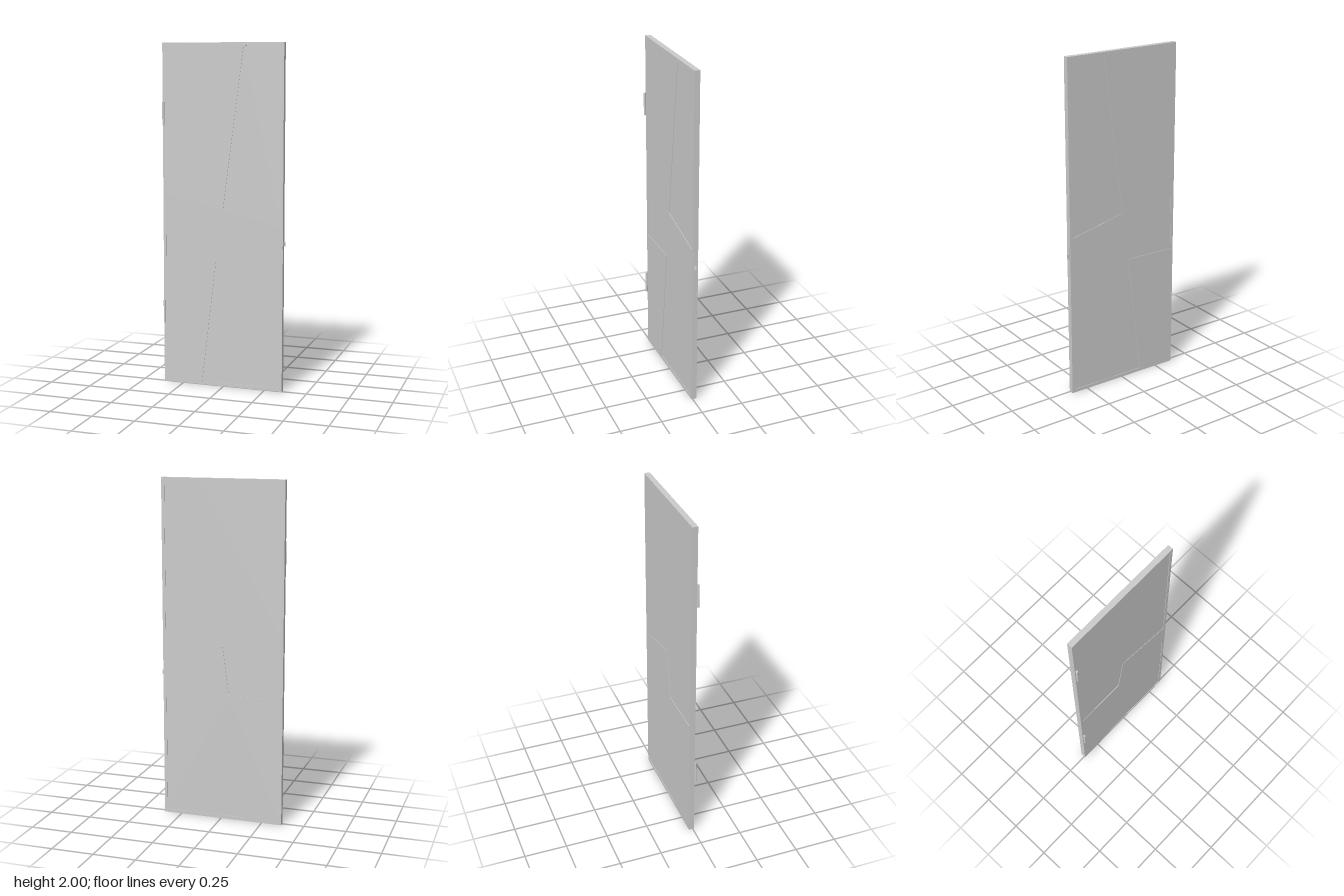
import * as THREE from 'three';

const BACK = -0.025, FRONT = 0.007, INSET = 0.003;

export function createModel() {
  const door = new THREE.Group();
  door.name = 'door';
  const grey = new THREE.MeshStandardMaterial({ color: 0xcccccc });

  const add = (name, geometry, x = 0, y = 0, z = 0) => {
    const mesh = new THREE.Mesh(geometry, grey);
    mesh.name = name;
    mesh.position.set(x, y, z);
    door.add(mesh);
    return mesh;
  };
  const outline = (points) => points.map(([x, y]) => new THREE.Vector2(x, y));
  const extrude = (shape, depth) =>
    new THREE.ExtrudeGeometry(shape, { depth, bevelEnabled: false });

  // Slanted panels, sunk slightly into both faces of the leaf
  const panels = {
    upperPanel: [[0.118, 1.98], [-0.003, 1.052], [0.337, 0.972], [0.337, 1.98]],
    middlePanel: [[-0.352, 1.128], [-0.352, 0.757], [-0.047, 0.757], [-0.009, 1.052]],
    lowerPanel: [[-0.045, 0.755], [-0.133, 0.02], [0.337, 0.02], [0.337, 0.755]],
  };

  // Door leaf with openings
  const leaf = new THREE.Shape(outline([[-0.37, 0], [0.355, 0], [0.355, 2], [-0.37, 2]]));
  for (const points of Object.values(panels)) leaf.holes.push(new THREE.Path(outline(points)));
  add('leaf', extrude(leaf, FRONT - BACK), 0, 0, BACK);

  // Panels filling the openings
  for (const [name, points] of Object.entries(panels)) {
    add(name, extrude(new THREE.Shape(outline(points)), FRONT - BACK - 2 * INSET), 0, 0, BACK + INSET);
  }

  // Hinge barrels on the front at the right edge
  for (const [name, y] of [['upperHinge', 1.595], ['lowerHinge', 0.427]]) {
    add(name, new THREE.CylinderGeometry(0.0065, 0.0065, 0.135, 24), -0.363, y, 0.0155);
  }

  // Latch plate and bevelled bolt on the closing edge
  add('latchPlate', new THREE.BoxGeometry(0.002, 0.2, 0.021), 0.3555, 0.852, -0.004);
  const bolt = new THREE.Shape(outline([[0.354, 0.011], [0.354, -0.001], [0.357, -0.001], [0.367, 0.011]]));
  add('latchBolt', extrude(bolt, 0.024), 0, 0.877, 0).rotation.x = Math.PI / 2;
  // The wedge profile is turned flat, its square side toward the back
  door.getObjectByName('latchBolt').rotation.x = -Math.PI / 2;
  door.getObjectByName('latchBolt').position.y = 0.853;

  return door;
}
